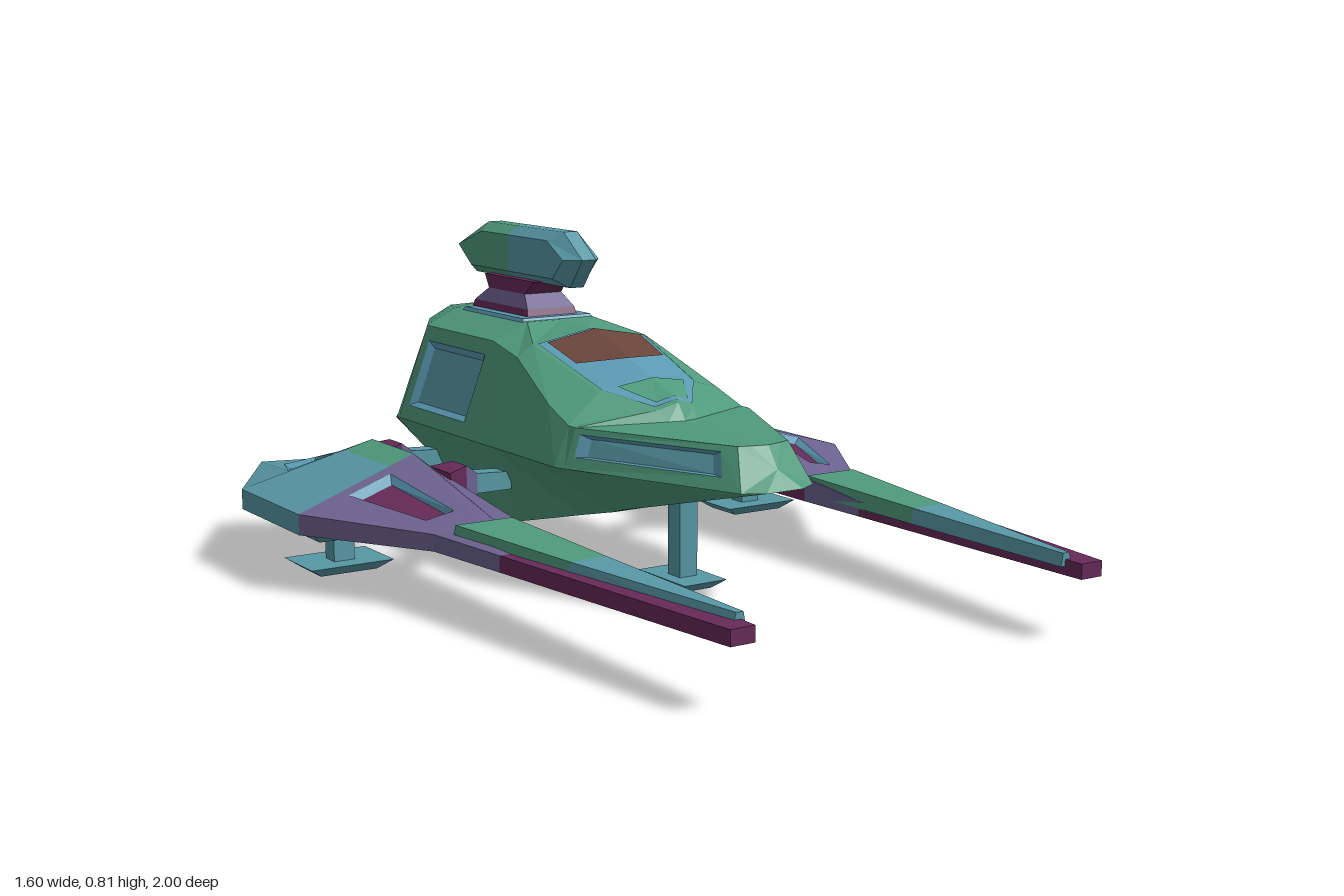
import * as THREE from 'three';

const mat = (name, color) => {
  const m = new THREE.MeshStandardMaterial({ color });
  m.name = name;
  return m;
};
const V = p => new THREE.Vector3(...p);
const mix = (a, b, t) => a.map((v, k) => v + (b[k] - v) * t);
const mean = pts => [0, 1, 2].map(k => pts.reduce((s, p) => s + p[k], 0) / pts.length);
const normalOf = q => V(q[2]).sub(V(q[0])).cross(V(q[3]).sub(V(q[1]))).normalize();

// Splits a quad into a border, a sloped rim and a sunken panel.
function inset(q, { base, rim, panel, u, v, depth = 0.012 }, inward) {
  const at = (s, t) => mix(mix(q[0], q[1], t), mix(q[3], q[2], t), s);
  const rect = e => [at(u[0] + e, v[0] + e), at(u[0] + e, v[1] - e), at(u[1] - e, v[1] - e), at(u[1] - e, v[0] + e)];
  const outer = rect(0);
  const inner = rect(0.06).map(p => V(p).addScaledVector(inward, depth).toArray());
  const faces = [{ m: panel, p: inner }];
  for (let k = 0; k < 4; k++) {
    const n = (k + 1) % 4;
    faces.push({ m: base, p: [q[k], q[n], outer[n], outer[k]] });
    faces.push({ m: rim, p: [outer[k], outer[n], inner[n], inner[k]] });
  }
  return faces;
}

// Fan over a ring, turned to face "out".
function cap(ring, m, out, centre = mean(ring), closed = true) {
  const faces = [];
  const n = ring.length;
  for (let j = 0; j < (closed ? n : n - 1); j++) {
    const p = [centre, ring[j], ring[(j + 1) % n]];
    const d = V(p[1]).sub(V(p[0])).cross(V(p[2]).sub(V(p[0]))).dot(out);
    faces.push({ m, p: d < 0 ? p.reverse() : p });
  }
  return faces;
}

// Joins rings of points; pick(i, j) gives a colour or an inset for each cell.
function loft(rings, pick, { closed = true, half = false, out = null, caps = null } = {}) {
  const faces = [];
  for (let i = 0; i < rings.length - 1; i++) {
    const [a, b] = [rings[i], rings[i + 1]];
    const c = mean([...a, ...b]);
    if (half) c[0] = 0;
    for (let j = 0; j < (closed ? a.length : a.length - 1); j++) {
      const n = (j + 1) % a.length;
      const q = [a[j], a[n], b[n], b[j]];
      const normal = normalOf(q);
      const flip = normal.dot(out || V(mean(q)).sub(V(c))) < 0;
      const m = pick(i, j);
      const cell = m.panel ? inset(q, m, normal.multiplyScalar(flip ? 1 : -1)) : [{ m, p: q }];
      cell.forEach(f => faces.push({ m: f.m, p: flip ? [...f.p].reverse() : f.p }));
    }
  }
  if (caps) {
    const ends = [[rings[0], rings[1]], [rings.at(-1), rings.at(-2)]];
    ends.forEach(([e, o], k) => faces.push(...cap(e, caps[k], V(mean(e)).sub(V(mean(o))))));
  }
  return faces;
}

const mirror = faces => faces.map(({ m, p }) => ({ m, p: p.map(([x, y, z]) => [-x, y, z]).reverse() }));
const both = faces => [...faces, ...mirror(faces)];

// One flat-shaded mesh with a group for each colour.
function build(name, faces) {
  const mats = [...new Set(faces.map(f => f.m))];
  const pos = [];
  const geo = new THREE.BufferGeometry();
  mats.forEach((m, k) => {
    const start = pos.length / 3;
    for (const f of faces) {
      if (f.m !== m) continue;
      for (let i = 1; i < f.p.length - 1; i++) pos.push(...f.p[0], ...f.p[i], ...f.p[i + 1]);
    }
    geo.addGroup(start, pos.length / 3 - start, k);
  });
  geo.setAttribute('position', new THREE.Float32BufferAttribute(pos, 3));
  geo.computeVertexNormals();
  const mesh = new THREE.Mesh(geo, mats);
  mesh.name = name;
  return mesh;
}

// Horizontal rectangle at height y.
const rectY = (x0, x1, z0, z1, y) => [[x0, y, z0], [x1, y, z0], [x1, y, z1], [x0, y, z1]];

export function createModel() {
  const green = mat('hull green', 0x4f9a7c);
  const teal = mat('panel teal', 0x5898a6);
  const blue = mat('trim blue', 0x5a98b2);
  const lilac = mat('lilac', 0x6c6290);
  const plum = mat('plum', 0x662a58);
  const brown = mat('canopy brown', 0x68443a);
  const model = new THREE.Group();
  const add = (name, faces) => model.add(build(name, faces));

  // Hull stations: bottom, widest edge, shoulder, ridge, top centre (y, z)
  const hull = [
    [[.05, .30, .515], [.10, .30, .485], [.07, .395, .43], [.04, .395, .44], [.395, .45]],
    [[.14, .19, .06], [.28, .30, .03], [.25, .395, .03], [.04, .40, .11], [.40, .12]],
    [[.145, .18, .03], [.29, .30, 0], [.25, .395, 0], [.05, .425, .08], [.44, .09]],
    [[.16, .15, -.1], [.29, .30, -.1], [.245, .43, -.1], [.14, .46, -.04], [.487, -.04]],
    [[.19, .10, -.31], [.29, .30, -.31], [.21, .515, -.31], [.165, .545, -.31], [.575, -.31]],
    [[.20, .08, -.4], [.29, .30, -.45], [.20, .54, -.45], [.10, .58, -.45], [.58, -.45]],
    [[.20, .09, -.52], [.29, .30, -.81], [.20, .54, -.81], [.10, .58, -.83], [.58, -.9]],
    [[.19, .10, -.56], [.29, .30, -.82], [.11, .535, -.97], [.06, .572, -.94], [.575, -.93]],
    [[.18, .118, -.59], [.285, .305, -.82], [.11, .435, -.985], [.06, .435, -.985], [.435, -.985]],
  ].map(s => [[0, s[0][1], s[0][2]], ...s.slice(0, 4), [0, ...s[4]]]);
  const noseWindow = { base: green, rim: blue, panel: teal, u: [.1, .96], v: [.3, .85] };
  const sideWindow = { base: green, rim: blue, panel: teal, u: [.05, .9], v: [.15, .85] };
  const hullCell = (i, j) => (j === 2 && i === 0 ? noseWindow : j === 2 && i === 5 ? sideWindow : green);
  add('hull', both([
    ...loft(hull, hullCell, { closed: false, half: true }),
    ...cap(hull[0], green, V([0, 0, 1]), [0, .345, .485], false),
  ]));

  // Slanted rear opening: rim band, sloped frame and sunken panel
  const back = V([0, -.78, -.625]);
  const rear = hull.at(-1);
  const rim = rear.map(([x, y, z]) => [x, y - .009, z - .015]);
  const centre = [0, .27, -.8];
  const shrink = (t, d) => rim.map(p => V(mix(p, centre, t)).addScaledVector(back, -d).toArray());
  const frame = { closed: false, out: back };
  add('rearOpening', both([
    ...loft([rear, rim], () => plum, { closed: false, half: true }),
    ...loft([rim, shrink(.1, 0)], () => plum, frame),
    ...loft([shrink(.1, 0), shrink(.18, .03)], () => lilac, frame),
    ...cap(shrink(.18, .03), teal, back, V(centre).addScaledVector(back, -.03).toArray(), false),
  ]));

  // Canopy plates laid over the sloped hull top, t from front to back
  const canopyRow = (w, t, lift, sweep = 0) => {
    const along = (k, s) => s < .4 ? mix(hull[2][k], hull[3][k], s / .4) : mix(hull[3][k], hull[4][k], (s - .4) / .6);
    const [side, mid] = [mix(along(5, t + sweep), along(4, t + sweep), w), along(5, t)];
    return [side, mid].map(([x, y, z]) => [x, y + lift, z]);
  };
  const plate = (m, w, lift, rows) => loft(rows.map(([t, s]) => canopyRow(w, t, lift, s)), () => m, { closed: false, out: V([0, 1, 0]) });
  add('canopy', both([
    ...plate(blue, .95, .003, [[.03, 0], [.4, 0], [.98, 0]]),
    ...plate(green, .72, .006, [[.06, 0], [.34, .03]]),
    ...plate(brown, .84, .008, [[.58, .1], [.8, .06], [.95, 0]]),
  ]));

  // Turret base plate, waisted neck and long faceted head
  add('turretBase', loft([rectY(-.11, .11, -.79, -.46, .57), rectY(-.10, .10, -.78, -.47, .587)], () => blue, { caps: [blue, blue] }));
  const neck = [[.075, -.79, -.49, .58], [.07, -.78, -.5, .605], [.055, -.73, -.54, .64], [.05, -.76, -.5, .675]]
    .map(([x, z0, z1, y]) => rectY(-x, x, z0, z1, y));
  add('turretNeck', loft(neck, i => (i === 1 ? lilac : plum), { caps: [plum, plum] }));
  const headHalf = (profile, m) => {
    const slice = (x, s) => profile.map(([z, y]) => [x, .74 + (y - .74) * s, -.63 + (z + .63) * (1 - (1 - s) * .4)]);
    return loft([slice(-.053, .68), slice(-.02, 1), slice(.02, 1), slice(.053, .68)], () => m, { caps: [m, m] });
  };
  add('turretHeadFront', headHalf([[-.63, .67], [-.37, .67], [-.31, .745], [-.4, .81], [-.63, .81]], teal));
  add('turretHeadRear', headHalf([[-.63, .67], [-.86, .67], [-.94, .745], [-.79, .81], [-.63, .81]], green));

  // Wings: z and height of outer edge, crest and inner edge at each station
  const wing = [
    [-.985, -.92, .61, .185, .47, .19, .19, .42],
    [-.66, -.62, .80, .19, .46, .288, .255, .42],
    [-.32, -.39, .80, .19, .46, .288, .255, .42],
    [0, .04, .61, .18, .47, .2, .2, .42],
    [.25, .25, .58, .178, .47, .178, .178, .424],
    [1, 1, .495, .175, .46, .175, .175, .435],
  ].map(([z, zi, xo, yo, xc, yc, yi, xi]) => {
    const [outer, crest] = [[xo, yo, z], [xc, yc, zi]];
    return [[xi, .14, zi], [xo, .14, z], outer, mix(outer, crest, .78), crest, [xi, yi, zi]];
  });
  const scoop = (base, u) => ({ base, rim: blue, panel: plum, u, v: [.45, .93], depth: .015 });
  const wingCell = (i, j) => {
    if (i === 4) return plum;
    if (i === 3) return lilac;
    if (j === 5) return plum;
    if (i === 2) return j === 2 ? scoop(lilac, [.08, .75]) : lilac;
    if (i === 0) return j === 2 ? scoop(teal, [.35, .92]) : teal;
    return j === 0 ? lilac : j > 2 ? green : teal;
  };
  add('wings', both(loft(wing, wingCell, { caps: [teal, plum] })));

  // Raised strips along the wing spears
  const strip = [[.04, .595, .205], [.45, .54, .197], [.95, .465, .19]].map(([z, x, y]) =>
    [[.422, .16, z], [x - .01, .16, z], [x - .02, y, z], [.428, y, z]]);
  add('wingStrips', both(loft(strip, i => (i ? teal : green), { caps: [green, teal] })));

  // Struts between hull and wings, flared at the wing
  for (const [z, name] of [[-.32, 'frontStruts'], [-.67, 'rearStruts']]) {
    const rings = [[.24, .19, .235, .025], [.335, .19, .24, .025], [.37, .165, .265, .035], [.425, .142, .255, .055]]
      .map(([x, y0, y1, d]) => [[x, y0, z - d], [x, y0, z + d], [x, y1, z + d], [x, y1, z - d]]);
    add(name, both(loft(rings, i => [teal, lilac, plum][i], { caps: [teal, plum] })));
  }

  // Pads under the wings, landing legs and feet
  const block = (low, high, m) => loft([rectY(...low), rectY(...high)], () => m, { caps: [m, m] });
  add('wingPads', both(block([.50, .73, -.62, -.36, .105], [.46, .765, -.65, -.33, .141], teal)));
  add('rearLegs', both([
    ...block([.59, .645, -.515, -.465, .015], [.59, .645, -.515, -.465, .12], teal),
    ...block([.545, .695, -.545, -.435, 0], [.51, .73, -.575, -.41, .024], teal),
  ]));
  add('frontLeg', [
    ...block([-.025, .025, .083, .135, .015], [-.025, .025, .083, .135, .22], teal),
    ...block([-.038, .038, .045, .175, 0], [-.06, .06, .01, .208, .024], teal),
  ]);
  return model;
}
